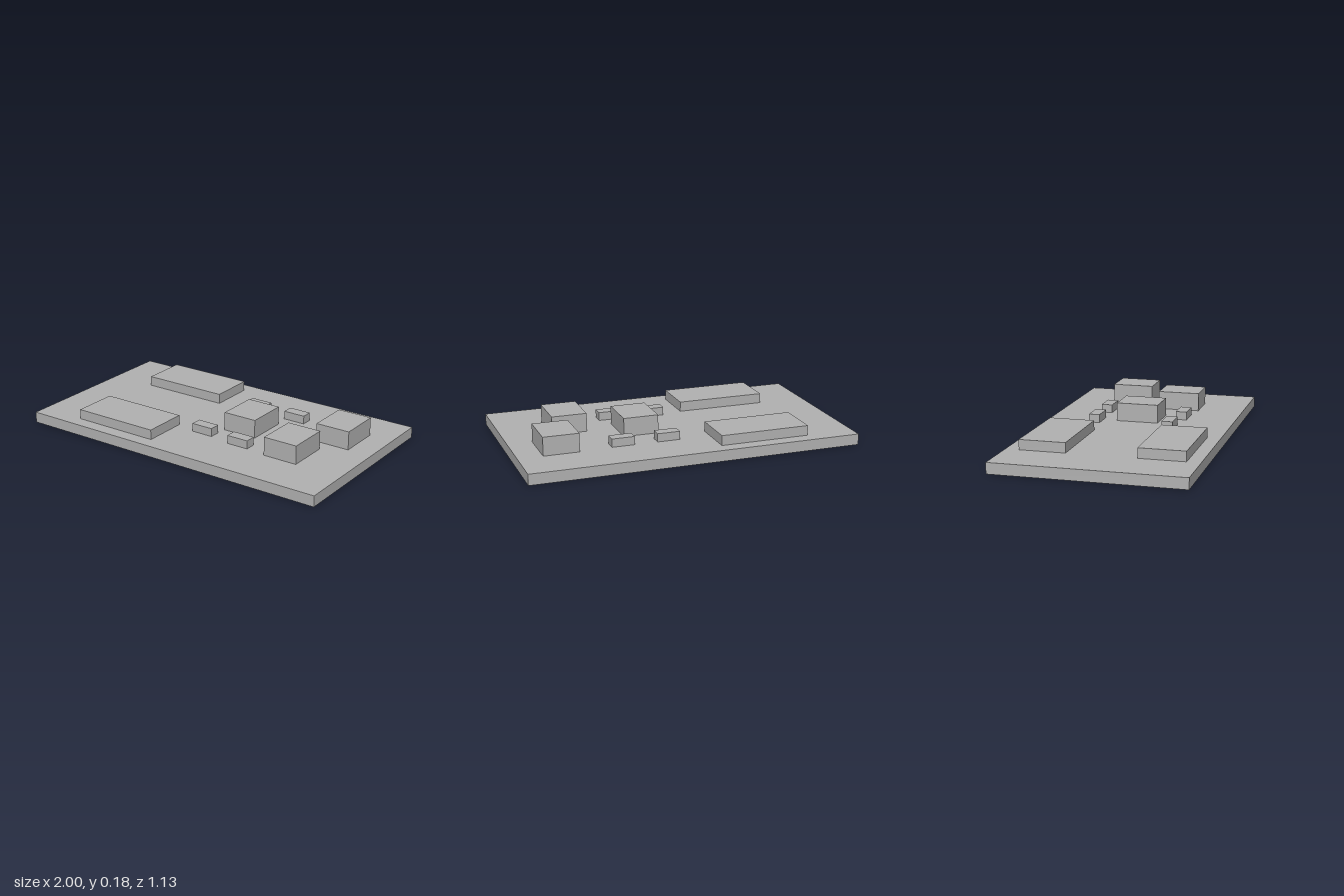
import * as THREE from 'three';

export function createModel() {
  const model = new THREE.Group();
  model.name = 'circuitBoard';
  const grey = new THREE.MeshStandardMaterial({ color: 0xb2b2b2 });
  grey.name = 'plain grey';

  const boardTop = 0.066;

  // Box resting on height y, centred on x, z
  function block(name, [w, h, d], x, y, z) {
    const mesh = new THREE.Mesh(new THREE.BoxGeometry(w, h, d), grey);
    mesh.name = name;
    mesh.position.set(x, y + h / 2, z);
    model.add(mesh);
  }

  // Base board
  block('board', [2, boardTop, 1.128], 0, 0, 0);

  // Two long connectors, mirrored front to back
  for (const side of [1, -1]) {
    block(side > 0 ? 'frontConnector' : 'backConnector', [0.545, 0.06, 0.276], -0.433, boardTop, side * 0.345);
  }

  // Three tall chips
  [[0.215, -0.013], [0.605, 0.157], [0.745, -0.183]].forEach(([x, z], i) =>
    block(`chip${i + 1}`, [0.214, 0.112, 0.258], x, boardTop, z));

  // Four small components
  [[0.098, -0.265], [0.375, -0.265], [0.033, 0.209], [0.303, 0.235]].forEach(([x, z], i) =>
    block(`smallComponent${i + 1}`, [0.138, 0.05, 0.068], x, boardTop, z));

  return model;
}
